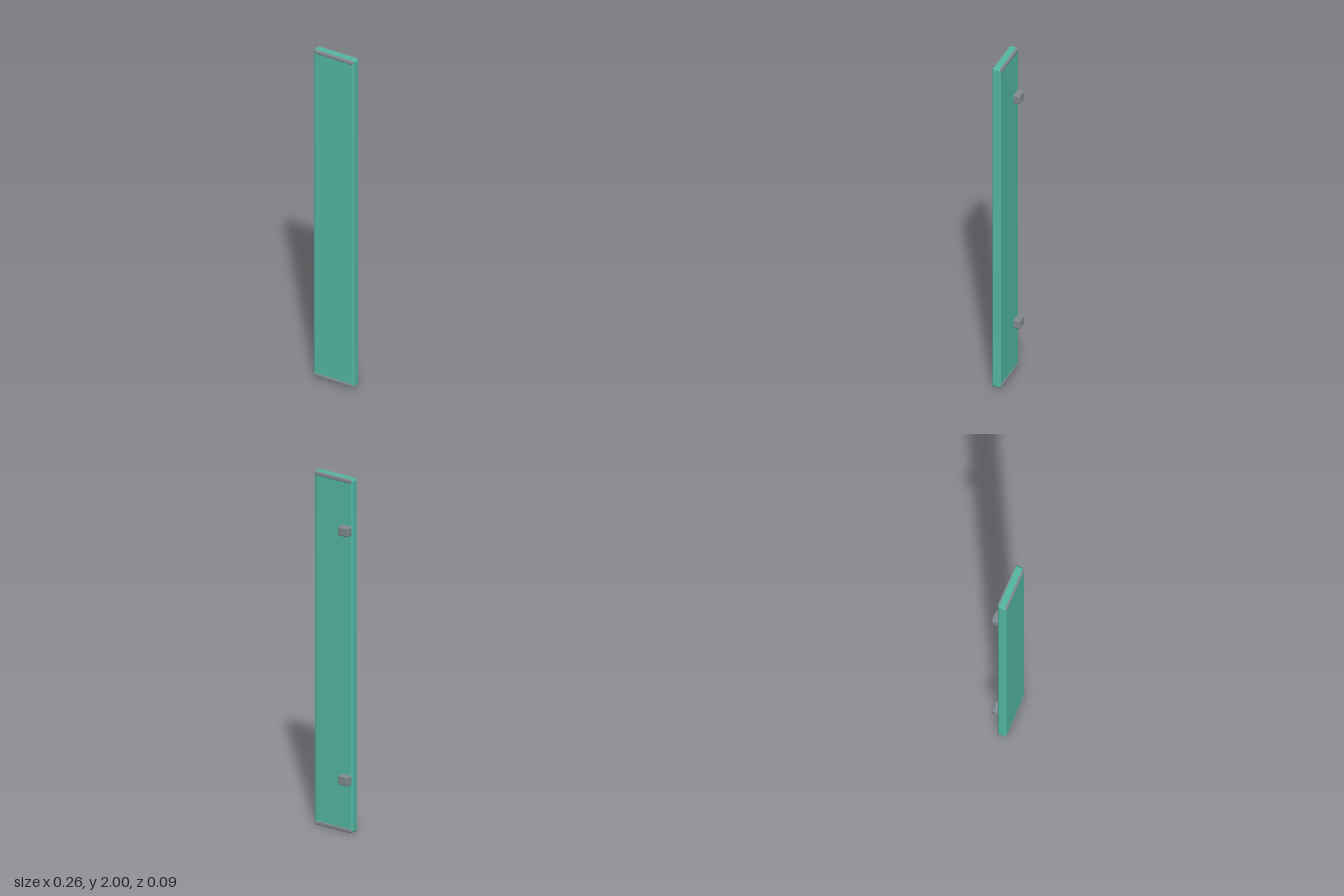
import * as THREE from 'three';
import { ConvexGeometry } from 'three/addons/geometries/ConvexGeometry.js';

const teal = new THREE.MeshStandardMaterial({ name: 'teal panel', color: 0x52b5a1 });
const grey = new THREE.MeshStandardMaterial({ name: 'grey metal', color: 0x7f898e });

// Box with chamfered edges, given by its lower and upper corners.
function chamferBox(name, material, min, max, bevel) {
  const centre = min.map((v, i) => (v + max[i]) / 2);
  const half = min.map((v, i) => (max[i] - v) / 2);
  const points = [];
  for (const sx of [-1, 1]) for (const sy of [-1, 1]) for (const sz of [-1, 1]) {
    const sign = [sx, sy, sz];
    // Each corner becomes three points, one per touching face.
    for (let face = 0; face < 3; face++) {
      points.push(new THREE.Vector3(...sign.map((s, i) => s * (half[i] - (i === face ? 0 : bevel)))));
    }
  }
  const mesh = new THREE.Mesh(new ConvexGeometry(points), material);
  mesh.name = name;
  mesh.position.set(...centre);
  return mesh;
}

export function createModel() {
  const model = new THREE.Group();
  model.name = 'doorPanel';

  // Tall slab, its top just proud of the upper cap
  model.add(chamferBox('panel', teal, [-0.129, 0.002, -0.01], [0.129, 2, 0.04], 0.008));

  // Trim around the two ends
  model.add(chamferBox('bottomCap', grey, [-0.124, 0, -0.014], [0.124, 0.024, 0.044], 0.005));
  model.add(chamferBox('topCap', grey, [-0.124, 1.976, -0.014], [0.124, 1.9994, 0.044], 0.005));

  // Hinge blocks on the back
  for (const [name, y] of [['lowerHinge', 0.3], ['upperHinge', 1.71]]) {
    model.add(chamferBox(name, grey, [-0.126, y - 0.027, -0.047], [-0.059, y + 0.027, -0.003], 0.006));
  }
  return model;
}
